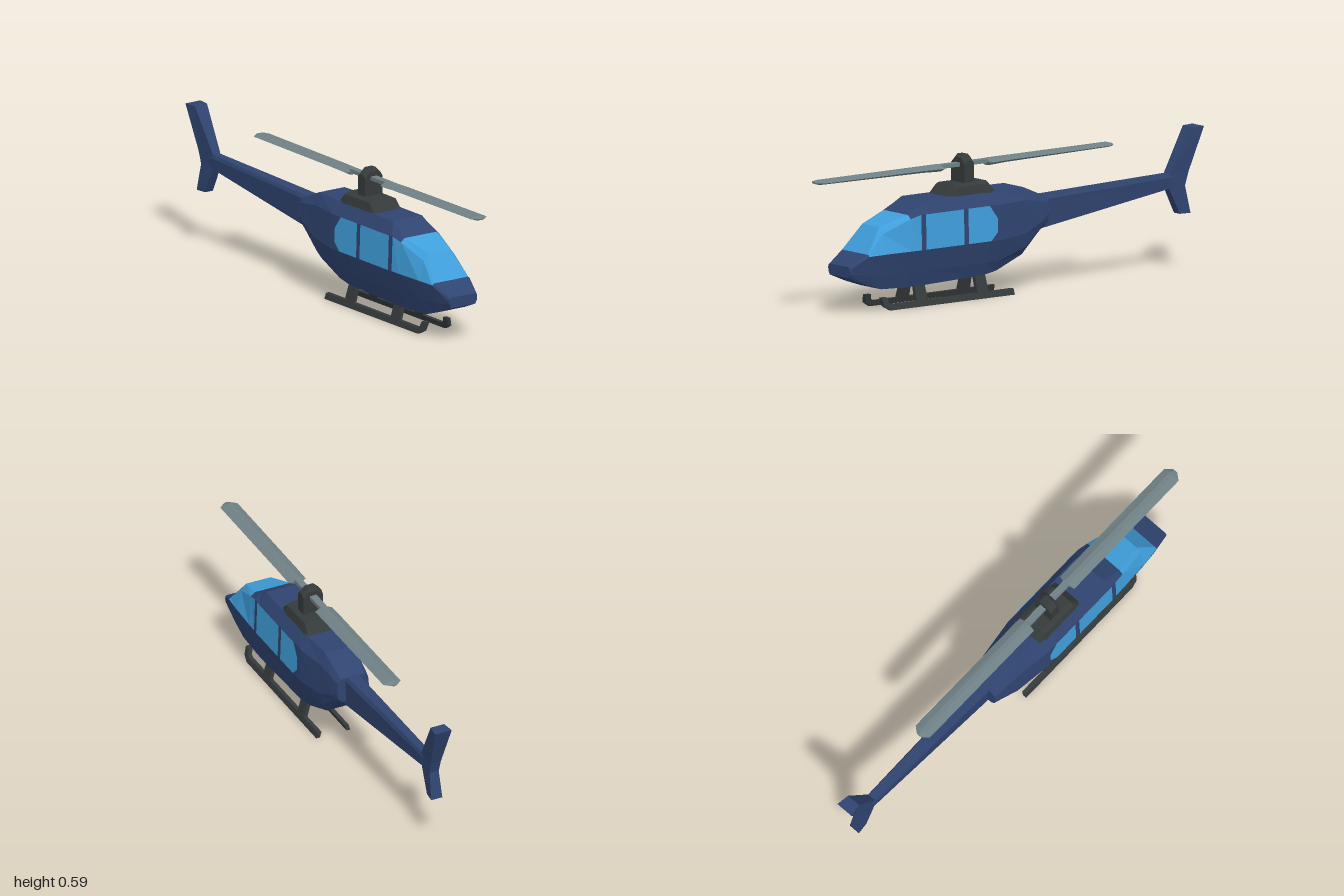
import * as THREE from 'three';

const paint = (color) => new THREE.MeshStandardMaterial({ color, flatShading: true, side: THREE.DoubleSide });
const navy = paint(0x2f4470), glass = paint(0x3f9fdc), dark = paint(0x353a3b), steel = paint(0x6f8085);

function add(parent, name, geometry, material) {
  const mesh = new THREE.Mesh(geometry, material);
  mesh.name = name;
  parent.add(mesh);
  return mesh;
}

// Skin over rings of points (counter-clockwise around the direction of travel).
// keep(i, j) selects which panels are made; caps close both ends.
function loft(rings, keep = () => true, caps = true) {
  const pos = [], n = rings[0].length;
  const tri = (...pts) => pts.forEach((p) => pos.push(...p));
  for (let i = 0; i < rings.length - 1; i++) {
    for (let j = 0; j < n; j++) {
      if (!keep(i, j)) continue;
      const k = (j + 1) % n, [r, s] = [rings[i], rings[i + 1]];
      tri(r[j], r[k], s[k]);
      tri(r[j], s[k], s[j]);
    }
  }
  if (caps) {
    const a = rings[0], b = rings[rings.length - 1];
    for (let j = 1; j < n - 1; j++) {
      tri(a[0], a[j + 1], a[j]);
      tri(b[0], b[j], b[j + 1]);
    }
  }
  const g = new THREE.BufferGeometry();
  g.setAttribute('position', new THREE.Float32BufferAttribute(pos, 3));
  g.computeVertexNormals();
  return g;
}

// Symmetric ring at x from [y, halfWidth] pairs listed top to bottom
const ringX = (x, pairs) => [
  ...pairs.map(([y, w]) => [x, y, w]),
  ...pairs.slice().reverse().map(([y, w]) => [x, y, -w]),
];

const shapeOf = (pts) => new THREE.Shape(pts.map(([x, y]) => new THREE.Vector2(x, y)));

function extrude(pts, depth) {
  const g = new THREE.ExtrudeGeometry(shapeOf(pts), { depth, bevelEnabled: false });
  return g.translate(0, 0, -depth / 2);
}

// Moves each vertex in z by a rule of its height
function shiftZ(g, rule) {
  const p = g.attributes.position;
  for (let i = 0; i < p.count; i++) p.setZ(i, p.getZ(i) + rule(p.getY(i)));
  g.computeVertexNormals();
  return g;
}

function buildCabin() {
  const cabin = new THREE.Group();
  cabin.name = 'cabin';
  // x, then [height, half width] of roof, shoulder, waist, flank, belly
  const stations = [
    [-0.17, [0.38, 0.055], [0.36, 0.068], [0.32, 0.072], [0.285, 0.066], [0.27, 0.05]],
    [-0.13, [0.398, 0.058], [0.37, 0.075], [0.29, 0.08], [0.26, 0.07], [0.24, 0.05]],
    [-0.04, [0.436, 0.062], [0.385, 0.085], [0.25, 0.091], [0.19, 0.077], [0.158, 0.055]],
    [0.10, [0.436, 0.07], [0.385, 0.104], [0.24, 0.109], [0.15, 0.083], [0.106, 0.063]],
    [0.17, [0.436, 0.073], [0.385, 0.104], [0.24, 0.109], [0.15, 0.086], [0.096, 0.068]],
    [0.48, [0.436, 0.073], [0.385, 0.104], [0.24, 0.109], [0.15, 0.088], [0.088, 0.071]],
    [0.52, [0.413, 0.076], [0.385, 0.104], [0.24, 0.109], [0.15, 0.088], [0.088, 0.071]],
    [0.57, [0.387, 0.08], [0.372, 0.098], [0.24, 0.108], [0.15, 0.087], [0.088, 0.071]],
    [0.70, [0.347, 0.055], [0.32, 0.078], [0.24, 0.102], [0.15, 0.083], [0.093, 0.068]],
    [0.78, [0.245, 0.084], [0.243, 0.088], [0.238, 0.094], [0.16, 0.079], [0.12, 0.066]],
    [0.865, [0.20, 0.062], [0.195, 0.068], [0.185, 0.07], [0.17, 0.068], [0.155, 0.06]],
  ];
  const rings = stations.map(([x, ...pairs]) => ringX(x, pairs));
  const isGlass = (i, j) => i >= 6 && i <= 8 && ([1, 7].includes(j) || (i >= 7 && [0, 8, 9].includes(j)));
  add(cabin, 'fuselage', loft(rings, (i, j) => !isGlass(i, j)), navy);
  add(cabin, 'windshield', loft(rings, isGlass, false), glass);

  // Side windows lie just outside the flat cabin walls
  const panes = {
    rearWindow: [[0.125, 0.275], [0.16, 0.24], [0.277, 0.24], [0.277, 0.385], [0.165, 0.385], [0.125, 0.33]],
    frontWindow: [[0.3, 0.24], [0.497, 0.24], [0.497, 0.385], [0.3, 0.385]],
  };
  for (const [name, pts] of Object.entries(panes)) {
    for (const side of [1, -1]) {
      const g = shiftZ(new THREE.ShapeGeometry(shapeOf(pts)), (y) => 0.1105 - (y - 0.24) * 0.0345);
      add(cabin, name, g, glass).scale.z = side;
    }
  }
  return cabin;
}

function buildTail() {
  const tail = new THREE.Group();
  tail.name = 'tail';
  const boom = [
    [-0.89, 0.398, 0.35, 0.018],
    [-0.83, 0.40, 0.338, 0.022],
    [-0.12, 0.38, 0.243, 0.036],
  ].map(([x, top, low, w]) => ringX(x, [[top, w * 0.75], [top - 0.015, w], [low, w * 0.85]]));
  add(tail, 'tailBoom', loft(boom), navy);
  // Swept fin: height, rear x, front x, half width
  const fin = [
    [0.23, -0.94, -0.89, 0.025],
    [0.345, -0.915, -0.832, 0.021],
    [0.40, -0.931, -0.836, 0.023],
    [0.583, -1, -0.945, 0.038],
  ].map(([y, a, b, w]) => [[a, y, w], [b, y, w * 0.8], [b, y, -w * 0.8], [a, y, -w]]);
  add(tail, 'tailFin', loft(fin), navy);
  return tail;
}

function buildRotor() {
  const rotor = new THREE.Group();
  rotor.name = 'rotor';
  const housing = [
    [0.105, 0.43, 0.437, 0.07],
    [0.138, 0.43, 0.48, 0.075],
    [0.31, 0.43, 0.48, 0.075],
    [0.345, 0.43, 0.437, 0.07],
  ].map(([x, low, top, w]) => ringX(x, [[top, 0.045], [low + (top - low) * 0.8, 0.064], [low, w]]));
  add(rotor, 'engineHousing', loft(housing), dark);
  const mast = [0.198, 0.21, 0.235, 0.247].map((x, i) => {
    const drop = i % 3 === 0 ? 0.012 : 0;
    return ringX(x, [[0.593 - drop, 0.018], [0.568 - drop, 0.044], [0.475, 0.044]]);
  });
  add(rotor, 'mast', loft(mast), dark);
  // Blades: distance from mast, top, bottom, half width
  const blade = [
    [0.115, 0.56, 0.536, 0.016],
    [0.122, 0.562, 0.533, 0.039],
    [0.22, 0.562, 0.537, 0.039],
    [0.75, 0.562, 0.543, 0.039],
    [0.7725, 0.556, 0.549, 0.012],
  ].map(([x, top, low, w]) => ringX(x, [[top, w * 0.25], [(top + low) / 2, w], [low, w * 0.25]]));
  for (const turn of [0, Math.PI]) {
    const arm = new THREE.Group();
    arm.name = 'rotorArm';
    arm.position.x = 0.2225;
    arm.rotation.y = turn;
    add(arm, 'blade', loft(blade), steel);
    add(arm, 'bladeGrip', new THREE.BoxGeometry(0.13, 0.016, 0.03).translate(0.06, 0.552, 0), steel);
    rotor.add(arm);
  }
  return rotor;
}

function buildLandingGear() {
  const gear = new THREE.Group();
  gear.name = 'landingGear';
  const parts = {
    skid: [[0.012, 0.005], [0.655, 0.007], [0.685, 0.025], [0.692, 0.06], [0.664, 0.06], [0.656, 0.036], [0.64, 0.03], [0.014, 0.03]],
    rearStrut: [[0.142, 0.025], [0.2, 0.025], [0.2, 0.13], [0.148, 0.13]],
    frontStrut: [[0.458, 0.025], [0.517, 0.025], [0.511, 0.13], [0.463, 0.13]],
  };
  // Both sides splay outward toward the ground
  for (const side of [1, -1]) {
    for (const [name, pts] of Object.entries(parts)) {
      const g = shiftZ(extrude(pts, 0.017), (y) => 0.07 - y * 0.29);
      add(gear, name, g.translate(0, -0.005, 0), dark).scale.z = side;
    }
  }
  return gear;
}

export function createModel() {
  const model = new THREE.Group();
  model.name = 'helicopter';
  model.add(buildCabin(), buildTail(), buildRotor(), buildLandingGear());
  return model;
}
